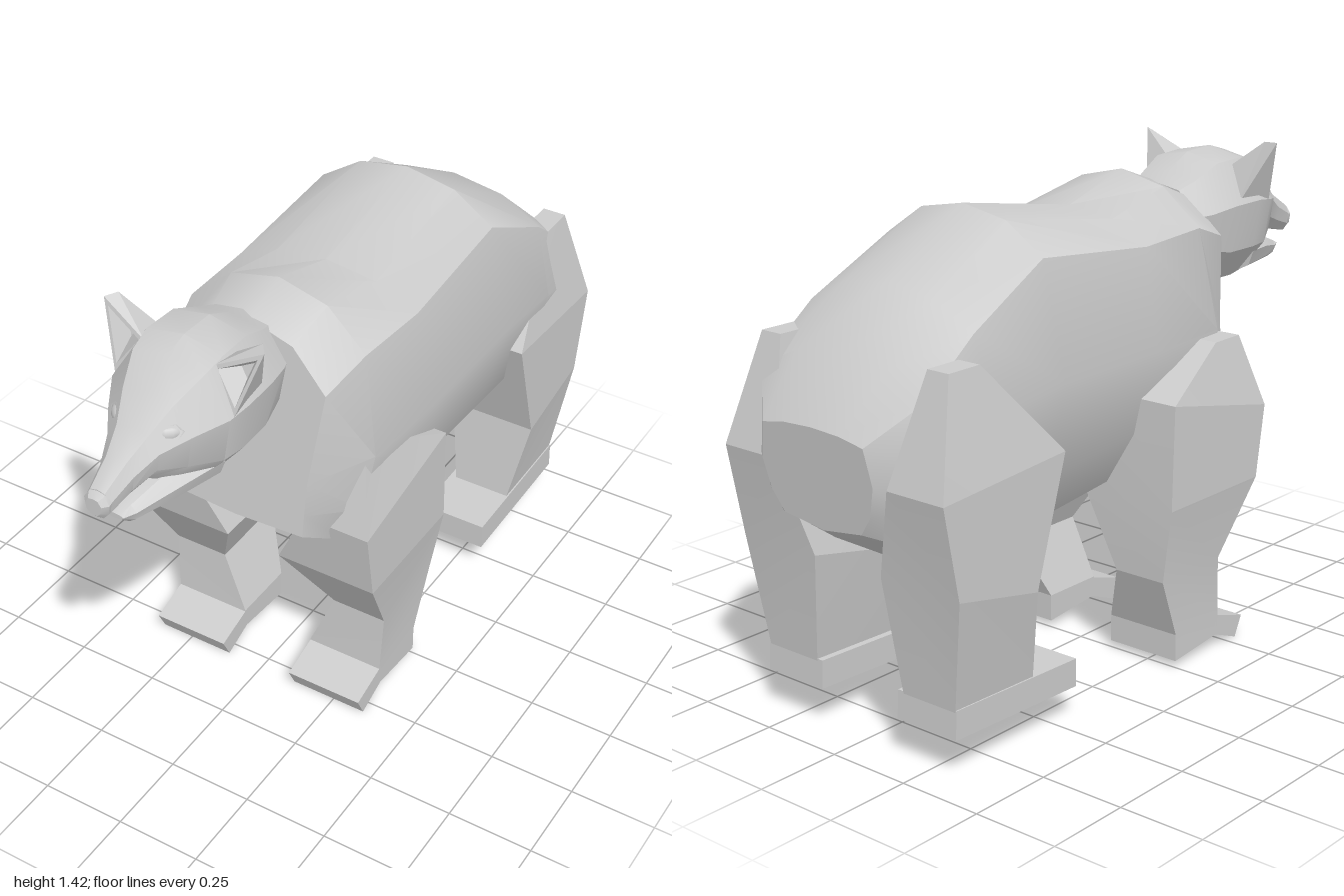
import * as THREE from 'three';
import { toCreasedNormals } from 'three/addons/utils/BufferGeometryUtils.js';

const material = new THREE.MeshStandardMaterial({ color: 0xcccccc });

// Closed skin through rings of [x, y, z] points, capped at both ends and turned outwards.
function loft(rings, crease = 0.6) {
  const n = rings[0].length;
  const points = rings.flat();
  const faces = [];
  for (let r = 0; r < rings.length - 1; r++) {
    for (let i = 0; i < n; i++) {
      const a = r * n + i, b = r * n + (i + 1) % n;
      faces.push([a, b, b + n], [a, b + n, a + n]);
    }
  }
  [0, rings.length - 1].forEach((r) => {
    const centre = [0, 1, 2].map((k) => rings[r].reduce((s, p) => s + p[k], 0) / n);
    const c = points.push(centre) - 1;
    for (let i = 0; i < n; i++) {
      const a = r * n + i, b = r * n + (i + 1) % n;
      faces.push(r === 0 ? [c, b, a] : [c, a, b]);
    }
  });
  const v = points.map((p) => new THREE.Vector3(...p));
  const volume = faces.reduce((s, [a, b, c]) => s + v[a].dot(v[b].clone().cross(v[c])), 0);
  if (volume < 0) faces.forEach((f) => f.reverse());
  const geometry = new THREE.BufferGeometry().setFromPoints(v);
  geometry.setIndex(faces.flat());
  return toCreasedNormals(geometry, crease);
}

function part(parent, name, geometry) {
  const mesh = new THREE.Mesh(geometry, material);
  mesh.name = name;
  parent.add(mesh);
  return mesh;
}

// Mirrors a half outline (top to bottom, both ends on the middle line) into a ring.
function mirrorRing(half, cx = 0) {
  const other = half.slice(1, -1).reverse().map(([x, y, z]) => [-x, y, z]);
  return [...half, ...other].map(([x, y, z]) => [x + cx, y, z]);
}

// Torso cross-section, leaning from zTop to zBottom.
function torsoRing([zTop, zBottom, top, shoulderY, shoulderW, midY, midW, lowY, lowW, bottom]) {
  const half = [
    [0, top],
    [shoulderW * 0.55, top - 0.25 * (top - shoulderY)],
    [shoulderW, shoulderY],
    [midW, midY],
    [(midW * 0.65 + lowW * 0.35), midY * 0.4 + lowY * 0.6],
    [lowW, lowY],
    [0, bottom],
  ];
  return mirrorRing(half.map(([x, y]) =>
    [x, y, THREE.MathUtils.lerp(zTop, zBottom, (top - y) / (top - bottom))]), 0.04);
}

// Head cross-section: half width, top and bottom at one depth.
function headRing([z, w, top, bottom]) {
  const h = top - bottom;
  return mirrorRing([
    [0, top, z], [w * 0.6, top - h * 0.06, z], [w, top - h * 0.36, z],
    [w * 0.88, top - h * 0.72, z], [w * 0.45, bottom + h * 0.03, z], [0, bottom, z],
  ]);
}

// Leg cross-section: inner and outer x, back and front z, height at back and front.
const legRing = (side) => ([xi, xo, zb, zf, yb, yf = yb]) => [
  [side * xi, yb, zb], [side * xo, yb, zb], [side * xo, yf, zf], [side * xi, yf, zf],
];

function addLegs(parent, side, label) {
  const ring = legRing(side);
  // Front leg with a short sloping paw
  const front = new THREE.Group();
  front.name = label + 'FrontLeg';
  part(front, 'frontLimb', loft([
    [0.25, 0.34, 0.18, 0.29, 0.92],
    [0.19, 0.39, -0.07, 0.355, 0.8, 0.71],
    [0.085, 0.39, -0.08, 0.32, 0.5],
    [0.19, 0.355, -0.07, 0.19, 0.28],
    [0.115, 0.35, 0, 0.2, 0.1],
    [0.115, 0.35, 0, 0.205, 0.02, 0.04],
  ].map(ring), 0.15));
  const toe = (z1, y1, z2, y2) => [
    [side * 0.115, y1, z1], [side * 0.35, y1, z1], [side * 0.35, y2, z2], [side * 0.115, y2, z2],
  ];
  part(front, 'frontPaw', loft([toe(0.19, 0.1, 0.19, 0.04), toe(0.32, 0.06, 0.29, 0)], 0.15));

  // Hind leg standing on a long flat paw
  const hind = new THREE.Group();
  hind.name = label + 'HindLeg';
  part(hind, 'hindLimb', loft([
    [0.26, 0.33, -0.89, -0.78, 1.06],
    [0.2, 0.39, -0.98, -0.53, 0.76, 0.79],
    [0.12, 0.39, -0.93, -0.64, 0.5, 0.44],
    [0.16, 0.34, -0.9, -0.605, 0.18],
  ].map(ring), 0.15));
  part(hind, 'hindPaw', loft([
    [0.14, 0.345, -0.9, -0.435, 0.19, 0.175],
    [0.14, 0.345, -0.905, -0.435, 0.11, 0.095],
  ].map(ring), 0.15));
  parent.add(front, hind);
}

// Pointed ear with a rim and a hollow front
function earGeometry(side) {
  const rim = [[0.1, 1.345, 0.63], [0.18, 1.235, 0.655], [0.238, 1.415, 0.605]];
  const back = [[0.085, 1.32, 0.54], [0.165, 1.23, 0.51], [0.215, 1.42, 0.575]];
  const centre = [0, 1, 2].map((k) => (rim[0][k] + rim[1][k] + rim[2][k]) / 3);
  const inset = (t, dz) => rim.map((p) =>
    p.map((c, k) => THREE.MathUtils.lerp(c, centre[k], t) + (k === 2 ? dz : 0)));
  const rings = [back, rim, inset(0.24, 0), inset(0.75, -0.05)];
  return loft(rings.map((r) => r.map(([x, y, z]) => [side * x, y, z])), 0.1);
}

export function createModel() {
  const bear = new THREE.Group();
  bear.name = 'bear';

  // Torso from chest to rump
  part(bear, 'torso', loft([
    [0.37, 0.46, 1.31, 1.17, 0.24, 0.9, 0.21, 0.74, 0.21, 0.73],
    [0.23, 0.3, 1.36, 1.22, 0.27, 0.93, 0.32, 0.63, 0.24, 0.6],
    [0, -0.08, 1.29, 1.21, 0.28, 0.93, 0.34, 0.54, 0.2, 0.49],
    [-0.435, -0.42, 1.36, 1.25, 0.275, 0.93, 0.345, 0.47, 0.15, 0.41],
    [-0.72, -0.66, 1.2, 1.11, 0.29, 0.9, 0.345, 0.47, 0.15, 0.415],
    [-0.89, -0.93, 1.05, 0.97, 0.29, 0.82, 0.31, 0.6, 0.2, 0.57],
    [-1, -0.97, 0.88, 0.86, 0.18, 0.76, 0.2, 0.62, 0.14, 0.6],
  ].map(torsoRing), 0.55));

  // Head: skull running into the upper muzzle, then the separate jaw
  const head = new THREE.Group();
  head.name = 'head';
  bear.add(head);
  part(head, 'skull', loft([
    [0.34, 0.14, 1.31, 1.06],
    [0.4, 0.165, 1.335, 1.03],
    [0.49, 0.185, 1.38, 0.99],
    [0.6, 0.19, 1.385, 0.99],
    [0.67, 0.178, 1.365, 1.0],
    [0.76, 0.125, 1.31, 1.05],
    [0.83, 0.078, 1.245, 1.1],
    [0.9, 0.05, 1.2, 1.085],
    [0.98, 0.036, 1.155, 1.068],
  ].map(headRing), 0.5));
  part(head, 'nose', loft([
    [0.96, 0.036, 1.16, 1.075], [0.985, 0.038, 1.15, 1.075], [1, 0.024, 1.14, 1.09],
  ].map(headRing), 0.5));
  part(head, 'jaw', loft([
    [0.64, 0.14, 1.12, 0.995], [0.78, 0.095, 1.1, 0.998],
    [0.89, 0.045, 1.06, 1.0], [0.925, 0.03, 1.045, 1.03],
  ].map(headRing), 0.4));

  for (const [side, label] of [[1, 'left'], [-1, 'right']]) {
    part(head, label + 'Ear', earGeometry(side));

    // Almond eye: six-sided lid around a small eyeball
    const eye = new THREE.Group();
    eye.name = label + 'Eye';
    const lid = part(eye, 'eyelid', new THREE.TorusGeometry(0.036, 0.008, 4, 6));
    lid.scale.y = 0.65;
    part(eye, 'eyeball', new THREE.SphereGeometry(0.032, 10, 6)).scale.set(1, 0.6, 0.4);
    eye.position.set(side * 0.078, 1.232, 0.787);
    eye.rotation.set(-0.4, side * 0.75, 0, 'YXZ');
    head.add(eye);

    addLegs(bear, side, label);
  }
  return bear;
}
